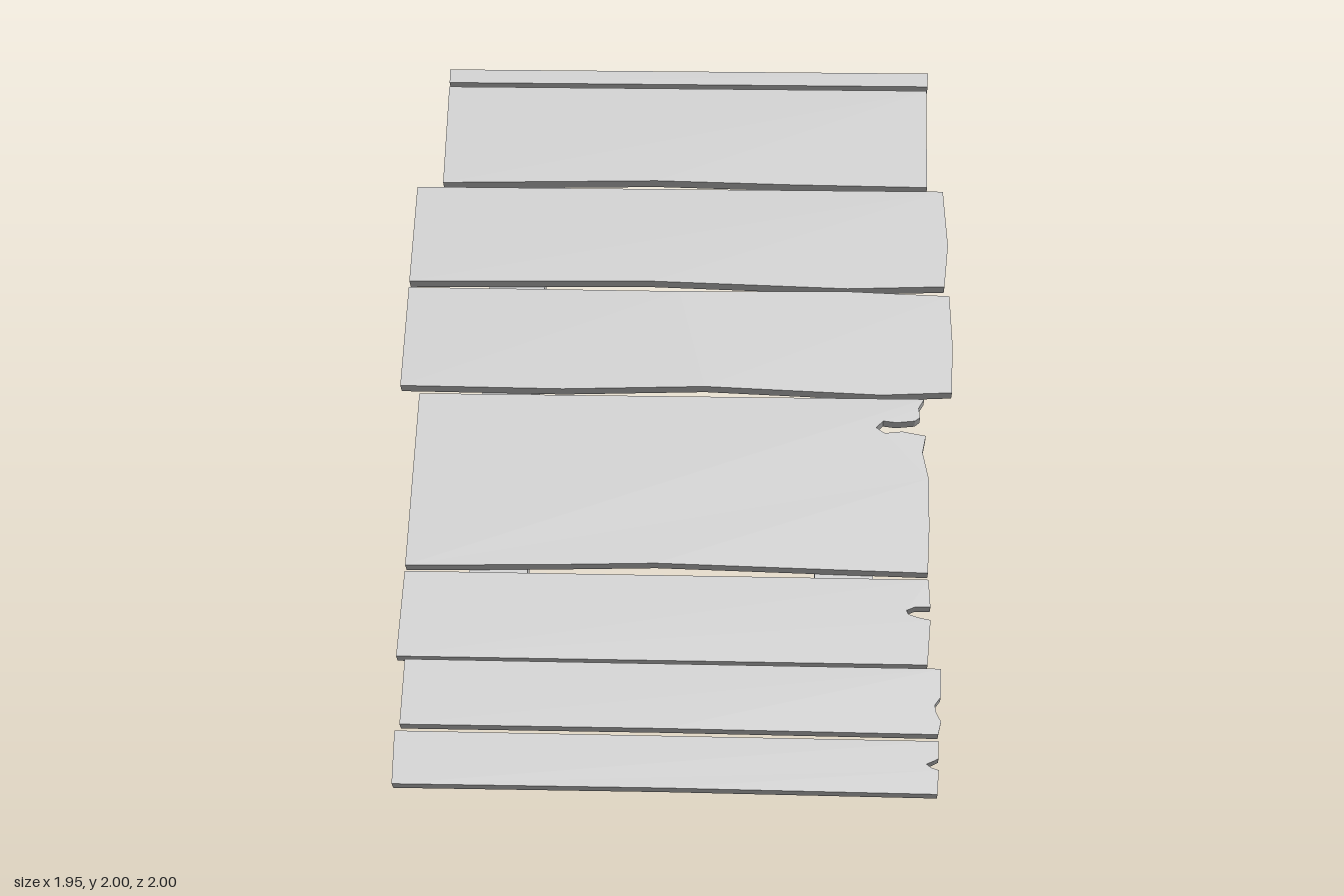
import * as THREE from 'three';

// Boards lie on a 45 degree slope: y + z = SLOPE on their front faces
const SLOPE = 1.032, T = 0.045, BATTEN_T = 0.068;
const alongSlope = (y) => (2 * y - SLOPE) / Math.SQRT2;

// Extrude an outline of [x, slope] points backwards from normal offset "front"
function slab(name, points, front, thickness, material) {
  const shape = new THREE.Shape(points.map(([x, s]) => new THREE.Vector2(x, s)));
  const geometry = new THREE.ExtrudeGeometry(shape, { depth: thickness, bevelEnabled: false });
  geometry.translate(0, 0, front - thickness);
  const mesh = new THREE.Mesh(geometry, material);
  mesh.name = name;
  return mesh;
}

// Outlines as [x, height of front face]: straight or bowed lower edge,
// worn right end from bottom to top, then upper left corner
const planks = [
  [[-0.89, 0.033], [0, 0.036], [0.895, 0.034], [0.9, 0.092], [0.875, 0.098], [0.86, 0.106],
    [0.885, 0.114], [0.9, 0.12], [0.9, 0.162], [-0.895, 0.162]],
  [[-0.88, 0.178], [0, 0.18], [0.9, 0.178], [0.91, 0.21], [0.895, 0.23], [0.89, 0.25],
    [0.91, 0.27], [0.912, 0.34], [-0.88, 0.34]],
  [[-0.91, 0.347], [0.868, 0.349], [0.88, 0.462], [0.84, 0.468], [0.805, 0.476], [0.8, 0.486],
    [0.83, 0.495], [0.88, 0.495], [0.875, 0.565], [-0.905, 0.565]],
  [[-0.905, 0.58], [-0.4, 0.588], [-0.05, 0.596], [0.4, 0.589], [0.873, 0.582], [0.88, 0.7],
    [0.88, 0.83], [0.86, 0.9], [0.872, 0.945], [0.79, 0.956], [0.73, 0.951], [0.7, 0.966],
    [0.725, 0.984], [0.77, 0.98], [0.835, 0.985], [0.853, 0.995], [0.848, 1.02], [0.868, 1.045], [-0.905, 1.042]],
  [[-0.975, 1.063], [-0.4, 1.06], [0.1, 1.072], [0.72, 1.055], [0.965, 1.064], [0.97, 1.2],
    [0.962, 1.335], [0.6, 1.345], [0, 1.34], [-0.975, 1.342]],
  [[-0.975, 1.36], [-0.1, 1.368], [0.6, 1.353], [0.945, 1.362], [0.96, 1.48], [0.945, 1.64], [-0.975, 1.638]],
  [[-0.882, 1.652], [-0.1, 1.664], [0.4, 1.656], [0.888, 1.652], [0.89, 1.946], [-0.888, 1.946]],
  [[-0.888, 1.959], [0.895, 1.959], [0.897, 2], [-0.89, 2]],
];

// Batten outline with rough sawn ends, [x, slope]
const batten = [
  [-0.1, -0.365], [-0.04, -0.38], [0.0, -0.362], [0.05, -0.38], [0.1, -0.37],
  [0.1, 1.79], [0.05, 1.8], [0.015, 1.775], [-0.04, 1.79], [-0.1, 1.795],
];

export function createModel() {
  const model = new THREE.Group();
  model.name = 'slopedPlankPanel';
  const wood = new THREE.MeshStandardMaterial({ color: 0xcccccc });
  wood.name = 'pale grey';

  const front = SLOPE / Math.SQRT2;
  const panel = new THREE.Group();
  panel.name = 'panel';
  panel.rotation.x = -Math.PI / 4;
  model.add(panel);

  // Eight cross planks
  planks.forEach((outline, i) => {
    const points = outline.map(([x, y]) => [x, alongSlope(y)]);
    panel.add(slab(`plank${i + 1}`, points, front, T, wood));
  });

  // Two battens along the back
  for (const [name, x] of [['leftBatten', 0.59], ['rightBatten', -0.59]]) {
    const mesh = slab(name, batten, front - T, BATTEN_T, wood);
    mesh.position.x = x;
    panel.add(mesh);
  }
  return model;
}
